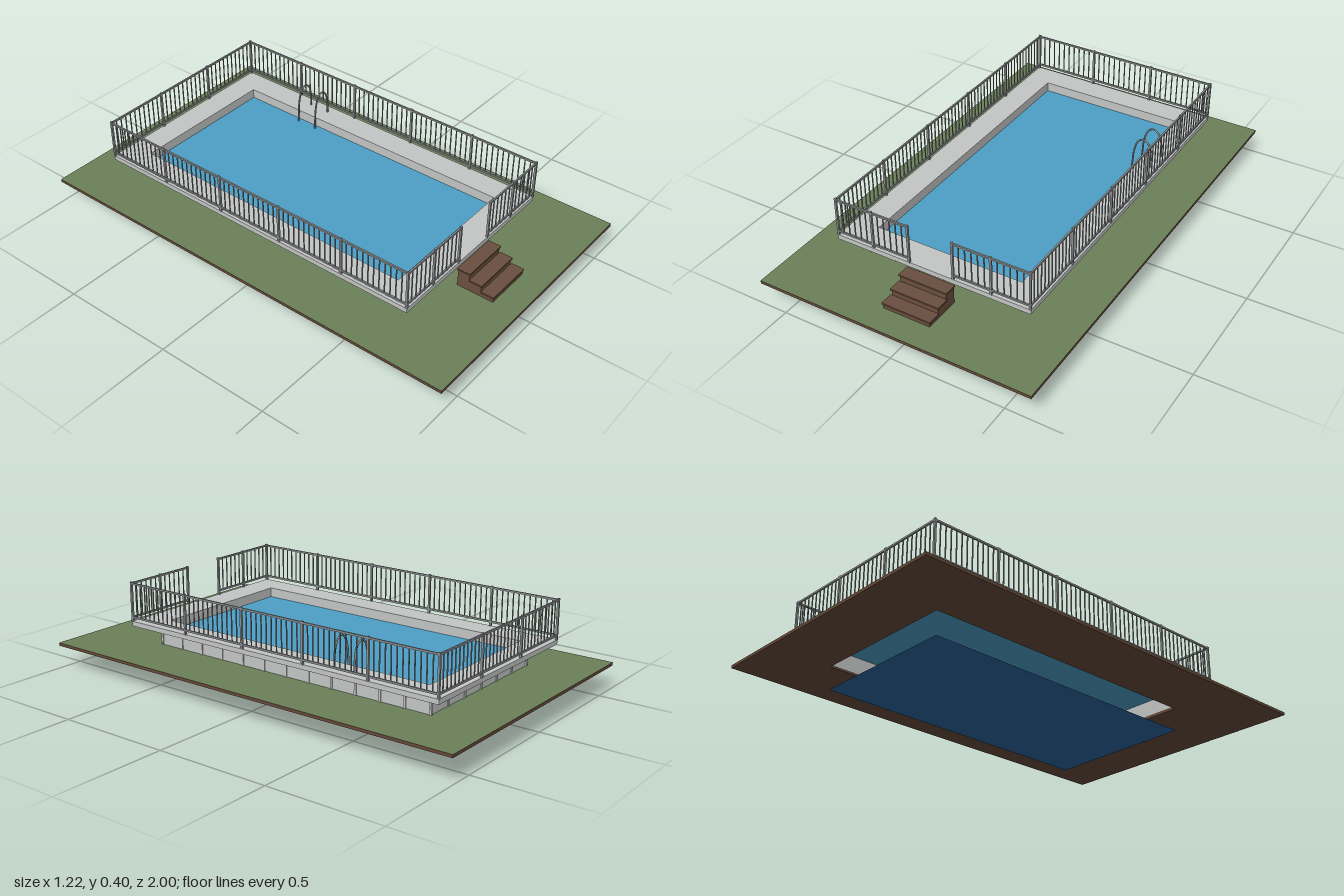
import * as THREE from 'three';
import { mergeGeometries } from 'three/addons/utils/BufferGeometryUtils.js';

const mat = (name, color, side = THREE.FrontSide) => {
  const m = new THREE.MeshStandardMaterial({ color, side });
  m.name = name;
  return m;
};

// Pool opening: x0, x1, z0, z1
const POOL = [-0.33, 0.33, -0.72, 0.6];
const DECK = [-0.44, 0.44, -0.83, 0.72];
const WALL = [-0.35, 0.35, -0.74, 0.63];
const GROUND = [-0.61, 0.61, -1, 1];

const box = (w, h, d, x, y, z) => new THREE.BoxGeometry(w, h, d).translate(x, y, z);

// Rectangle with the pool opening cut out, lying flat
function frameShape([x0, x1, z0, z1]) {
  const pts = (a, b, c, d) => [[a, -d], [b, -d], [b, -c], [a, -c]].map(p => new THREE.Vector2(...p));
  const shape = new THREE.Shape(pts(x0, x1, z0, z1));
  shape.holes.push(new THREE.Path(pts(...POOL).reverse()));
  return shape;
}
function frame(rect, y0, y1) {
  return new THREE.ExtrudeGeometry(frameShape(rect), { depth: y1 - y0, bevelEnabled: false })
    .rotateX(-Math.PI / 2).translate(0, y0, 0);
}
// Square bar between two points
function bar(a, b, t) {
  const from = new THREE.Vector3(...a), dir = new THREE.Vector3(...b).sub(from);
  const len = dir.length();
  const g = new THREE.BoxGeometry(t, len, t).translate(0, len / 2, 0);
  const q = new THREE.Quaternion().setFromUnitVectors(new THREE.Vector3(0, 1, 0), dir.normalize());
  return g.applyQuaternion(q).translate(...a);
}

export function createModel() {
  const root = new THREE.Group();
  root.name = 'abovegroundPool';
  const grass = mat('grass', 0x6b8058);
  const soil = mat('soil', 0x654a39);
  const concrete = mat('paleDeck', 0xc4c6c5);
  const metal = mat('greyMetal', 0x8c8e90);
  const wood = mat('brownWood', 0x6b4f3f);
  const water = mat('waterBlue', 0x4c9fc6, THREE.DoubleSide);
  const liner = mat('linerBlue', 0x2a649b, THREE.DoubleSide);
  const add = (name, geo, material) => {
    const m = new THREE.Mesh(geo, material);
    m.name = name;
    root.add(m);
  };

  // Ground slab with turf on top
  add('soilSlab', frame(GROUND, 0.1, 0.113), soil);
  add('turf', new THREE.ShapeGeometry(frameShape(GROUND)).rotateX(-Math.PI / 2).translate(0, 0.114, 0), grass);

  // Pool shell, deck, water and floor
  add('poolWall', frame(WALL, 0.11, 0.201), concrete);
  add('deck', frame(DECK, 0.201, 0.222), concrete);
  const sheet = y => new THREE.PlaneGeometry(0.66, 1.32).rotateX(-Math.PI / 2).translate(0, y, -0.06);
  add('waterSurface', sheet(0.18), water);
  add('poolFloor', sheet(0), liner);

  // Upright ribs on the wall and slanted braces under the deck
  const ribs = [], braces = [];
  for (let i = 0; i <= 6; i++) {
    const x = -0.35 + i * 0.7 / 6;
    for (const z of [WALL[2], WALL[3]]) ribs.push(box(0.01, 0.088, 0.008, x, 0.156, z));
  }
  for (let i = 0; i <= 12; i++) {
    const z = WALL[2] + i * 1.37 / 12;
    for (const x of [-0.35, 0.35]) ribs.push(box(0.008, 0.088, 0.01, x, 0.156, z));
  }
  for (let i = 0; i < 7; i++) {
    const z = 0.6 - i * 0.218;
    for (const s of [-1, 1]) braces.push(bar([s * 0.352, 0.168, z], [s * 0.4, 0.202, z], 0.006));
  }
  for (const x of [-0.32, -0.107, 0.107, 0.32]) {
    braces.push(bar([x, 0.168, 0.632], [x, 0.202, 0.68], 0.006));
    braces.push(bar([x, 0.168, -0.742], [x, 0.202, -0.79], 0.006));
  }
  add('wallRibs', mergeGeometries(ribs), concrete);
  add('deckBraces', mergeGeometries(braces), metal);

  // Fence runs: start, end, number of bays, gaps per bay
  const X = 0.437, ZB = -0.827, ZF = 0.717;
  const runs = [
    [[-X, ZB], [X, ZB], 3, 11],
    [[-X, ZB], [-X, ZF], 5, 12],
    [[X, ZB], [X, ZF], 5, 12],
    [[-X, ZF], [-0.1, ZF], 2, 6],
    [[X, ZF], [0.1, ZF], 2, 6],
  ];
  const posts = [], rails = [], balusters = [];
  for (const [a, b, bays, gaps] of runs) {
    const n = bays * gaps;
    const alongX = a[1] === b[1];
    const len = Math.hypot(b[0] - a[0], b[1] - a[1]);
    const mx = (a[0] + b[0]) / 2, mz = (a[1] + b[1]) / 2;
    for (const [y, h] of [[0.388, 0.008], [0.24, 0.008]])
      rails.push(box(alongX ? len : 0.007, h, alongX ? 0.007 : len, mx, y, mz));
    for (let i = 0; i <= n; i++) {
      const x = a[0] + (b[0] - a[0]) * i / n, z = a[1] + (b[1] - a[1]) * i / n;
      if (i % gaps === 0) posts.push(box(0.009, 0.176, 0.009, x, 0.307, z));
      else balusters.push(box(0.004, 0.148, 0.004, x, 0.314, z));
    }
  }
  add('fencePosts', mergeGeometries(posts), metal);
  add('fenceRails', mergeGeometries(rails), metal);
  add('fenceBalusters', mergeGeometries(balusters), metal);

  // Ladder: two arched rails and rungs
  const ladder = [];
  for (const z of [-0.335, -0.43]) {
    const path = new THREE.CatmullRomCurve3([
      [0.326, 0.026], [0.314, 0.036], [0.31, 0.06], [0.31, 0.14], [0.312, 0.22], [0.318, 0.285],
      [0.334, 0.33], [0.357, 0.345], [0.382, 0.33], [0.397, 0.29], [0.4, 0.22],
    ].map(([x, y]) => new THREE.Vector3(x, y, z)));
    ladder.push(new THREE.TubeGeometry(path, 40, 0.004, 8));
  }
  for (const y of [0.078, 0.125, 0.172]) ladder.push(box(0.02, 0.005, 0.095, 0.31, y, -0.3825));
  add('ladder', mergeGeometries(ladder), metal);

  // Entry steps
  const steps = [];
  [[0.89, 0.14], [0.834, 0.168], [0.778, 0.198]].forEach(([z, top]) => {
    const depth = z - 0.722;
    steps.push(box(0.21, top - 0.118, depth - 0.004, 0, (top + 0.106) / 2, 0.72 + depth / 2));
    steps.push(box(0.22, 0.007, 0.058, 0, top - 0.0035, z - 0.029));
  });
  add('entrySteps', mergeGeometries(steps), wood);

  return root;
}
